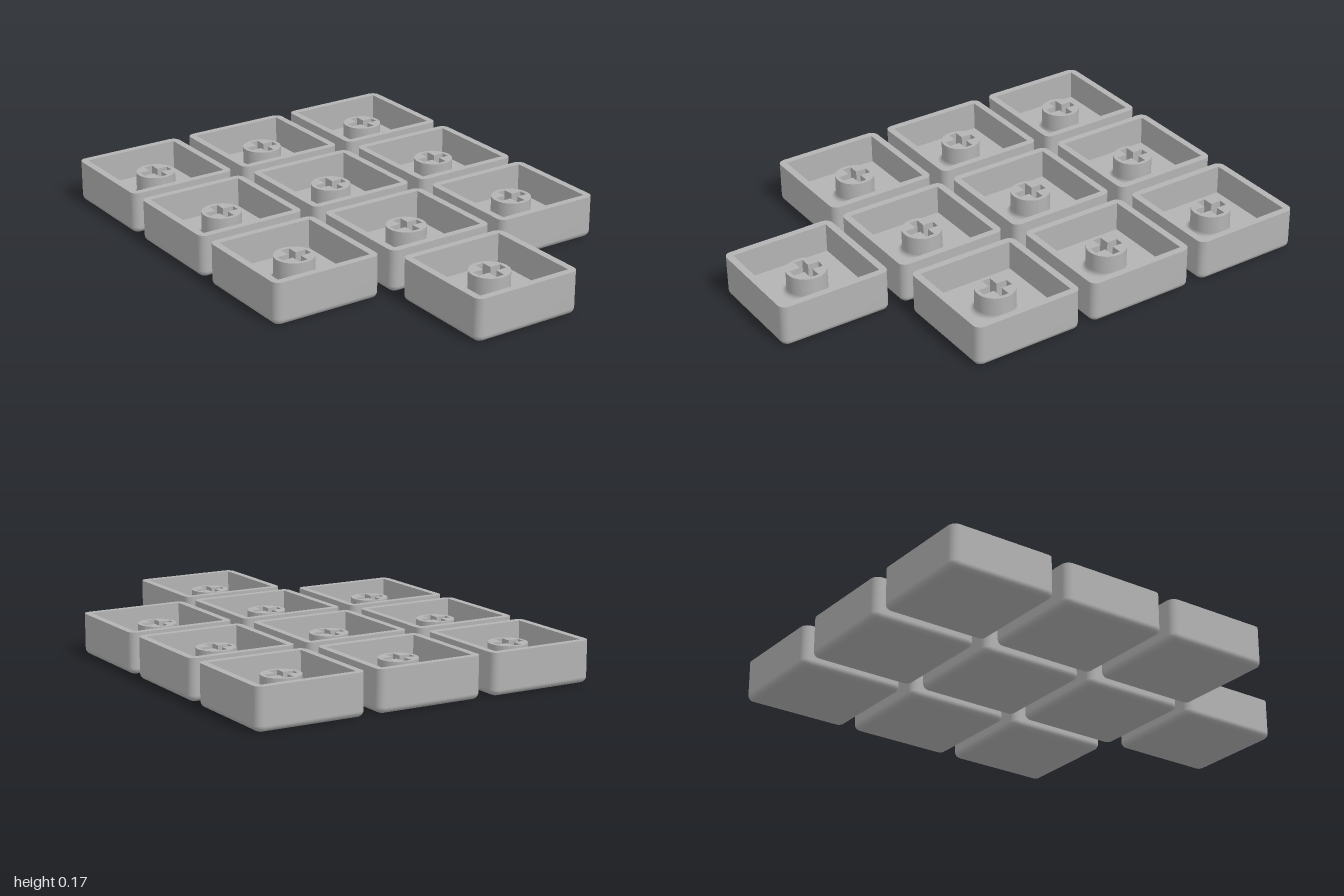
import * as THREE from 'three';
import { toCreasedNormals } from 'three/addons/utils/BufferGeometryUtils.js';

const HALF = 0.221, CORNER = 0.03, FILLET = 0.024; // cap outline
const HEIGHT = 0.165, FLOOR = 0.05, INNER = 0.193; // cavity
const STEM_R = 0.076, STEM_TOP = 0.14, STEM_FILLET = 0.018;
const STEPS = 6;

// Rounded square ring at height y: corner centres at +-c, corner radius r
function ring(c, r, y) {
  const pts = [];
  for (let k = 0; k < 4; k++) {
    const sx = k === 0 || k === 3 ? 1 : -1;
    const sz = k < 2 ? 1 : -1;
    for (let j = 0; j <= STEPS; j++) {
      const a = (k + j / STEPS) * Math.PI / 2;
      pts.push([sx * c + r * Math.cos(a), y, sz * c + r * Math.sin(a)]);
    }
  }
  return pts;
}

// Skin a sequence of rings
function loft(rings) {
  const n = rings[0].length, index = [];
  for (let i = 0; i < rings.length - 1; i++) {
    for (let j = 0; j < n; j++) {
      const a = i * n + j, b = i * n + (j + 1) % n;
      index.push(a, a + n, b, b, a + n, b + n);
    }
  }
  const geo = new THREE.BufferGeometry();
  geo.setAttribute('position', new THREE.Float32BufferAttribute(rings.flat(2), 3));
  geo.setIndex(index);
  return geo;
}

// Outer shell: flat base, rounded lower edge, straight wall
function shellGeometry() {
  const c = HALF - CORNER, rings = [ring(0, 0, 0)];
  for (let i = 0; i <= STEPS; i++) {
    const t = (i / STEPS) * Math.PI / 2;
    rings.push(ring(c, CORNER - FILLET * (1 - Math.sin(t)), FILLET * (1 - Math.cos(t))));
  }
  rings.push(ring(c, CORNER, HEIGHT));
  const geo = loft(rings);
  geo.computeVertexNormals();
  return geo;
}

// Rim, square cavity walls and cavity floor, with hard edges
function cavityGeometry() {
  const geo = loft([
    ring(HALF - CORNER, CORNER, HEIGHT),
    ring(INNER, 0, HEIGHT),
    ring(INNER, 0, FLOOR),
    ring(0, 0, FLOOR),
  ]).toNonIndexed();
  geo.computeVertexNormals();
  return geo;
}

// Round post with a cross-shaped socket
function stemGeometry() {
  const shape = new THREE.Shape().absarc(0, 0, STEM_R, 0, Math.PI * 2, false);
  const l = 0.06, w = 0.017;
  const cross = [[l, -w], [l, w], [w, w], [w, l], [-w, l], [-w, w],
    [-l, w], [-l, -w], [-w, -w], [-w, -l], [w, -l], [w, -w]];
  shape.holes.push(new THREE.Path(cross.map(([x, y]) => new THREE.Vector2(x, y))));
  const geo = new THREE.ExtrudeGeometry(shape, {
    depth: STEM_TOP - FLOOR, bevelEnabled: false, curveSegments: 24,
  });
  geo.rotateX(-Math.PI / 2);
  geo.translate(0, FLOOR, 0);
  return toCreasedNormals(geo, 0.6);
}

// Concave fillet where the post meets the floor
function stemFilletGeometry() {
  const pts = [];
  for (let i = 0; i <= STEPS; i++) {
    const t = (i / STEPS) * Math.PI / 2;
    pts.push(new THREE.Vector2(
      STEM_R + STEM_FILLET * (1 - Math.sin(t)),
      FLOOR + STEM_FILLET * (1 - Math.cos(t))));
  }
  return new THREE.LatheGeometry(pts, 48);
}

export function createModel() {
  const model = new THREE.Group();
  model.name = 'keycapSet';
  const grey = new THREE.MeshStandardMaterial({ color: 0xb3b3b3 });
  grey.name = 'light grey plastic';

  const parts = {
    capShell: shellGeometry(),
    capCavity: cavityGeometry(),
    stem: stemGeometry(),
    stemFillet: stemFilletGeometry(),
  };

  // Diagonal 3 x 3 grid plus one extra cap at the front left
  const step = 0.349;
  const centres = [[2, 2]];
  for (let i = -1; i <= 1; i++) {
    for (let j = -1; j <= 1; j++) centres.push([i + j, i - j]);
  }
  for (const [x, z] of centres) {
    const cap = new THREE.Group();
    cap.name = 'keycap';
    for (const [name, geo] of Object.entries(parts)) {
      const mesh = new THREE.Mesh(geo, grey);
      mesh.name = name;
      cap.add(mesh);
    }
    cap.rotation.y = Math.PI / 4;
    cap.position.set(x * step, 0, z * step);
    model.add(cap);
  }
  return model;
}
